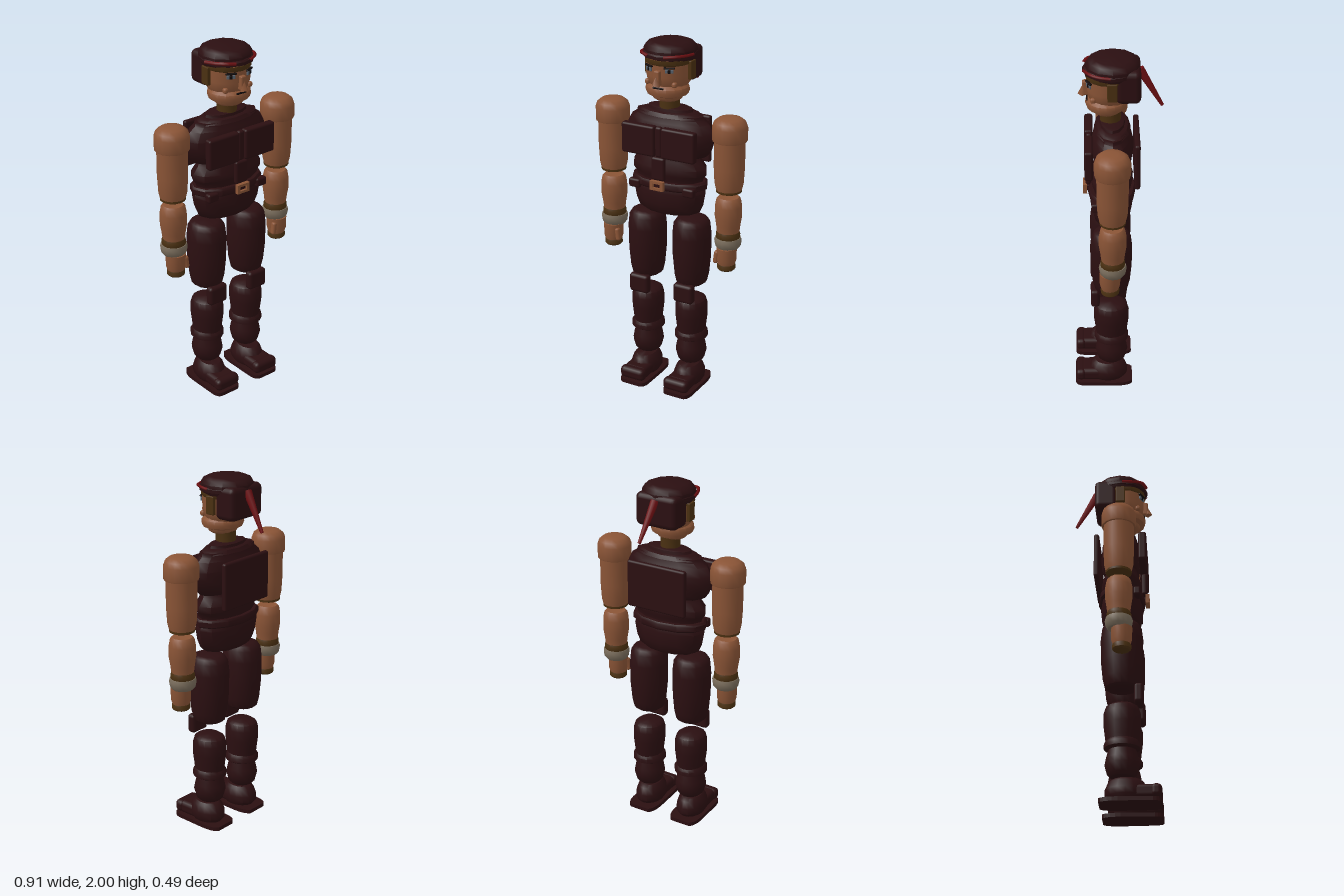
import * as THREE from 'three';
import { toCreasedNormals } from 'three/addons/utils/BufferGeometryUtils.js';
import { RoundedBoxGeometry } from 'three/addons/geometries/RoundedBoxGeometry.js';

const mat = (name, color) => Object.assign(new THREE.MeshStandardMaterial({ color }), { name });

export function createModel() {
  const root = new THREE.Group();
  root.name = 'figure';
  const cloth = mat('dark maroon cloth', 0x2b0f11);
  const skin = mat('skin', 0x8a5436);
  const red = mat('red band', 0x6c0f12);
  const olive = mat('dark olive', 0x4a3011);
  const grey = mat('wrist wrap', 0x7a6d5c);
  const black = mat('black', 0x100909);
  const eyeBlue = mat('grey blue eye', 0x56616c);

  const add = (parent, name, geo, material, x = 0, y = 0, z = 0) => {
    const m = new THREE.Mesh(geo, material);
    m.name = name;
    m.position.set(x, y, z);
    parent.add(m);
    return m;
  };
  // Closed turned body from [radius, height] pairs (bottom to top), with a depth scale
  const turned = (parent, name, profile, material, x, z, depth = 1, sides = 16) => {
    const pts = [[0, profile[0][1]], ...profile, [0, profile[profile.length - 1][1]]]
      .map(([r, y]) => new THREE.Vector2(r, y));
    const g = new THREE.LatheGeometry(pts, sides);
    g.scale(1, 1, depth);
    return add(parent, name, toCreasedNormals(g, 0.7), material, x, 0, z);
  };
  const block = (parent, name, w, h, d, material, x, y, z, r = 0.012) =>
    add(parent, name, new RoundedBoxGeometry(w, h, d, 2, Math.min(r, w / 2.1, h / 2.1, d / 2.1)), material, x, y, z);
  const tube = (parent, name, pts, r, material) =>
    add(parent, name, new THREE.TubeGeometry(
      new THREE.CatmullRomCurve3(pts.map(p => new THREE.Vector3(...p))), 10, r, 6), material);

  // Torso
  const torso = new THREE.Group();
  torso.name = 'torso';
  root.add(torso);
  turned(torso, 'pelvis', [[0.16, 1.05], [0.185, 1.065], [0.205, 1.11], [0.218, 1.18], [0.21, 1.2]], cloth, 0, 0.03, 0.55, 12);
  turned(torso, 'belt', [[0.215, 1.2], [0.226, 1.208], [0.226, 1.235], [0.215, 1.245]], cloth, 0, 0.03, 0.58, 12);
  turned(torso, 'abdomen', [[0.2, 1.245], [0.205, 1.265], [0.222, 1.285], [0.222, 1.32], [0.19, 1.36], [0.18, 1.39]], cloth, 0, 0.03, 0.52, 12);
  turned(torso, 'chest', [[0.2, 1.38], [0.225, 1.395], [0.25, 1.43], [0.265, 1.48], [0.262, 1.52], [0.235, 1.57], [0.205, 1.59], [0.2, 1.61]],
    cloth, 0, 0.025, 0.43, 12);
  turned(torso, 'collar', [[0.195, 1.6], [0.17, 1.62], [0.135, 1.625], [0.13, 1.64], [0.11, 1.645]], cloth, 0, 0.025, 0.5, 12);
  for (const s of [-1, 1]) {
    block(torso, 'chestPocket', 0.2, 0.17, 0.045, cloth, s * 0.12, 1.475, 0.152);
    block(torso, 'hipPouch', 0.07, 0.05, 0.04, cloth, s * 0.165, 1.205, 0.12);
  }
  block(torso, 'chestStrip', 0.04, 0.17, 0.03, cloth, 0, 1.475, 0.15);
  block(torso, 'frontStrap', 0.08, 0.13, 0.03, cloth, 0, 1.325, 0.156);
  block(torso, 'backPlate', 0.36, 0.265, 0.03, cloth, 0, 1.443, -0.105);

  // Square belt buckle with an open middle
  const frame = new THREE.Shape([[-0.04, -0.026], [0.04, -0.026], [0.04, 0.026], [-0.04, 0.026]].map(p => new THREE.Vector2(...p)));
  frame.holes.push(new THREE.Path([[-0.022, -0.012], [-0.022, 0.012], [0.022, 0.012], [0.022, -0.012]].map(p => new THREE.Vector2(...p))));
  add(torso, 'buckle', new THREE.ExtrudeGeometry(frame, { depth: 0.022, bevelEnabled: false }), skin, 0, 1.233, 0.162);
  block(torso, 'buckleBack', 0.05, 0.03, 0.02, cloth, 0, 1.233, 0.16, 0.004);

  // Head
  const head = new THREE.Group();
  head.name = 'head';
  root.add(head);
  turned(head, 'neck', [[0.055, 1.63], [0.055, 1.72]], olive, 0, 0.035);
  turned(head, 'jaw', [[0.065, 1.69], [0.08, 1.7], [0.085, 1.715], [0.112, 1.725], [0.12, 1.745], [0.117, 1.765], [0.1, 1.78]],
    skin, 0, 0.055, 0.93);
  turned(head, 'face', [[0.095, 1.76], [0.115, 1.79], [0.122, 1.83], [0.122, 1.92]], skin, 0, 0.04, 0.98);
  turned(head, 'hairline', [[0.124, 1.893], [0.128, 1.898], [0.128, 1.92]], olive, 0, 0.04, 0.98);
  block(head, 'nose', 0.034, 0.08, 0.04, skin, 0, 1.83, 0.16, 0.008);
  const tip = add(head, 'noseTip', new THREE.ConeGeometry(0.024, 0.07, 4, 1), skin, 0, 1.825, 0.176);
  tip.rotation.x = -0.15;
  block(head, 'mouth', 0.065, 0.01, 0.008, black, 0, 1.772, 0.158, 0.003);
  for (const s of [-1, 1]) {
    block(head, 'sideburn', 0.024, 0.1, 0.052, olive, s * 0.128, 1.86, 0.026, 0.005);
    block(head, 'cheek', 0.028, 0.03, 0.03, skin, s * 0.08, 1.793, 0.125);
    const eye = new THREE.Group();
    eye.name = 'eye';
    eye.position.set(s * 0.06, 1.868, 0.146);
    eye.rotation.y = s * 0.45;
    head.add(eye);
    block(eye, 'eyeball', 0.046, 0.02, 0.009, eyeBlue, 0, 0, 0, 0.003);
    block(eye, 'pupil', 0.016, 0.02, 0.008, black, 0, 0, 0.003, 0.003);
    block(eye, 'brow', 0.06, 0.01, 0.014, black, 0, 0.018, 0.001, 0.004);
  }

  // Cap, brim, back flap and knotted band
  turned(head, 'cap', [[0.132, 1.91], [0.14, 1.925], [0.143, 1.965], [0.128, 1.988], [0.1, 2.0]], cloth, 0, 0.022, 1, 12);
  turned(head, 'capBrim', [[0.13, 1.922], [0.146, 1.928], [0.146, 1.945], [0.138, 1.952]], cloth, 0, 0.03, 1.02, 12);
  block(head, 'capBack', 0.25, 0.18, 0.13, cloth, 0, 1.875, -0.058, 0.03);
  tube(head, 'headband', [[-0.142, 1.938, 0.035], [-0.125, 1.945, 0.105], [-0.1, 1.95, 0.15], [-0.05, 1.945, 0.174]], 0.009, red);
  tube(head, 'headband', [[0.142, 1.945, 0.035], [0.132, 1.948, 0.09], [0.107, 1.95, 0.135], [0.04, 1.945, 0.174]], 0.008, red);
  const tail = add(head, 'bandTail', new THREE.CylinderGeometry(0.024, 0.009, 0.235, 8), red, 0.012, 1.835, -0.176);
  tail.quaternion.setFromUnitVectors(new THREE.Vector3(0, 1, 0), new THREE.Vector3(-0.022, 0.2, 0.12).normalize());

  for (const s of [-1, 1]) {
    // Arm
    const arm = new THREE.Group();
    arm.name = s > 0 ? 'leftArm' : 'rightArm';
    arm.position.set(s * 0.358, 0, 0.03);
    root.add(arm);
    turned(arm, 'shoulder', [[0.093, 1.51], [0.095, 1.515], [0.095, 1.585], [0.085, 1.612], [0.062, 1.63], [0.03, 1.635]], skin, 0, 0);
    turned(arm, 'upperArm', [[0.07, 1.235], [0.078, 1.27], [0.083, 1.36], [0.083, 1.52]], skin, 0, 0);
    turned(arm, 'elbowBand', [[0.065, 1.22], [0.07, 1.223], [0.07, 1.24]], olive, 0, 0);
    turned(arm, 'forearm', [[0.06, 0.98], [0.066, 1.03], [0.074, 1.08], [0.073, 1.14], [0.066, 1.178], [0.055, 1.19]], skin, 0, 0);
    turned(arm, 'forearmBand', [[0.06, 0.945], [0.066, 0.955], [0.066, 0.98], [0.06, 0.995]], olive, 0, 0);
    turned(arm, 'wristWrap', [[0.058, 0.895], [0.07, 0.91], [0.075, 0.94], [0.07, 0.957]], grey, 0, 0);
    turned(arm, 'hand', [[0.046, 0.8], [0.055, 0.83], [0.056, 0.9]], skin, 0, 0.015);
    turned(arm, 'fingers', [[0.042, 0.77], [0.05, 0.778], [0.05, 0.8], [0.044, 0.812]], olive, 0, 0.015);
    const thumb = block(arm, 'thumb', 0.028, 0.075, 0.032, skin, -s * 0.046, 0.845, 0.045);
    thumb.rotation.z = -s * 0.12;

    // Leg
    const leg = new THREE.Group();
    leg.name = s > 0 ? 'leftLeg' : 'rightLeg';
    leg.position.set(s * 0.14, 0, 0.035);
    root.add(leg);
    turned(leg, 'thigh', [[0.07, 0.638], [0.085, 0.65], [0.096, 0.7], [0.105, 0.8], [0.107, 0.93], [0.1, 0.995], [0.085, 1.02], [0.065, 1.03]],
      cloth, 0, 0, 1.08);
    block(leg, 'kneePad', 0.12, 0.11, 0.05, cloth, 0, 0.603, 0.09, 0.018);
    turned(leg, 'shin', [[0.078, 0.33], [0.082, 0.37], [0.09, 0.44], [0.09, 0.5], [0.08, 0.535], [0.06, 0.55]], cloth, 0, 0, 1.1);
    turned(leg, 'shinBand', [[0.078, 0.295], [0.094, 0.305], [0.094, 0.33], [0.082, 0.348]], cloth, 0, 0, 1.03);
    turned(leg, 'ankle', [[0.06, 0.15], [0.075, 0.165], [0.088, 0.215], [0.082, 0.25], [0.07, 0.3]], cloth, 0, 0, 1.05);
    turned(leg, 'bootHeel', [[0.068, 0.02], [0.083, 0.045], [0.083, 0.08], [0.07, 0.12], [0.055, 0.135]], cloth, 0, 0.02, 1.35);
    block(leg, 'instep', 0.14, 0.075, 0.13, cloth, 0, 0.06, 0.115, 0.025);
    block(leg, 'toeCap', 0.155, 0.07, 0.06, cloth, 0, 0.063, 0.177, 0.025);
    // Sole: wide front, rounded ends
    const sole = new THREE.Shape();
    sole.moveTo(-0.06, -0.12);
    sole.lineTo(0.06, -0.12);
    sole.quadraticCurveTo(0.09, -0.1, 0.09, -0.02);
    sole.lineTo(0.085, 0.16);
    sole.quadraticCurveTo(0.08, 0.208, 0.05, 0.208);
    sole.lineTo(-0.05, 0.208);
    sole.quadraticCurveTo(-0.08, 0.208, -0.085, 0.16);
    sole.lineTo(-0.09, -0.02);
    sole.quadraticCurveTo(-0.09, -0.1, -0.06, -0.12);
    const plate = new THREE.ExtrudeGeometry(sole, { depth: 0.022, bevelEnabled: false, curveSegments: 5 });
    plate.rotateX(Math.PI / 2);
    add(leg, 'sole', plate, cloth, 0, 0.022, 0);
  }
  return root;
}
